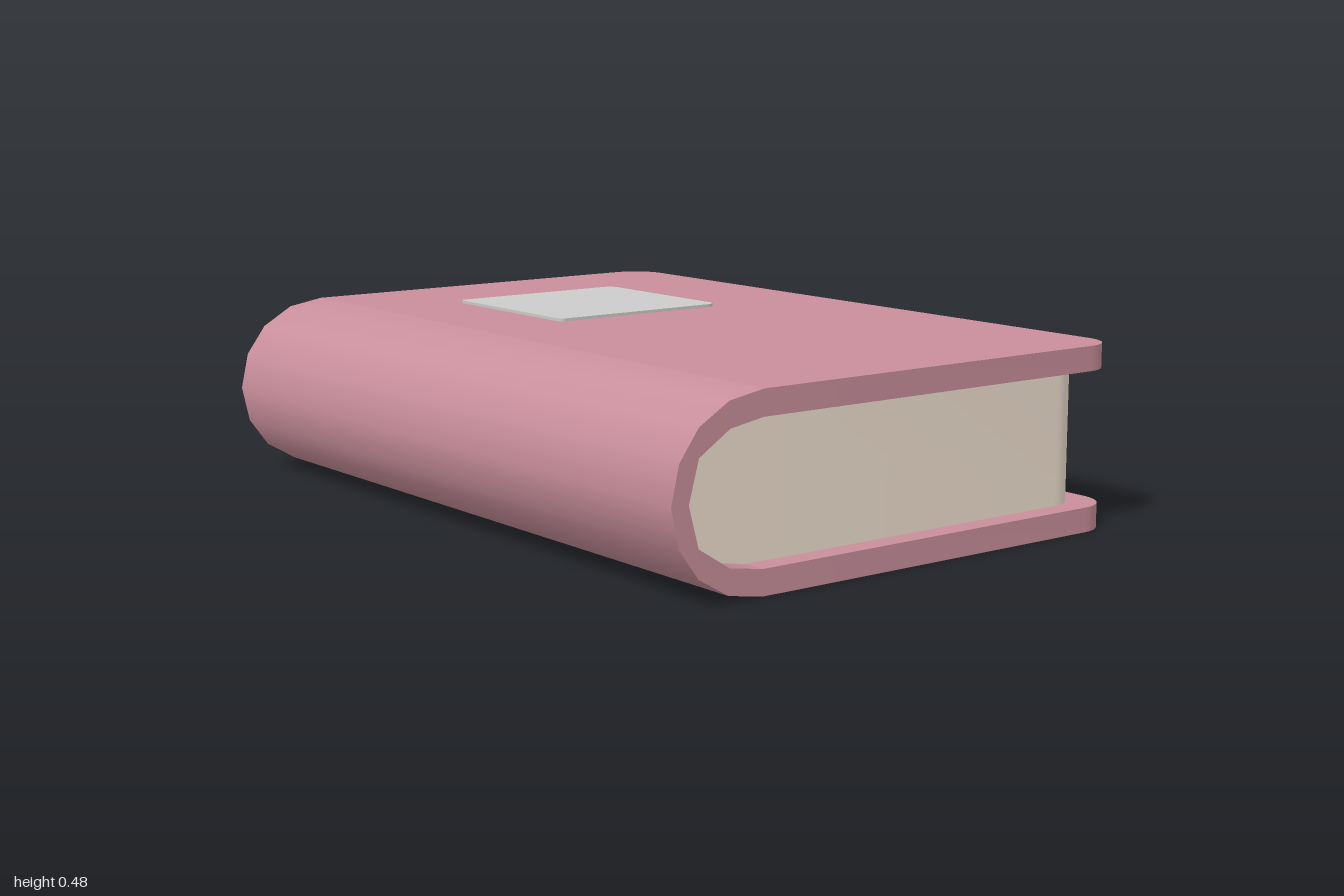
import * as THREE from 'three';
import { toCreasedNormals } from 'three/addons/utils/BufferGeometryUtils.js';

const MID = 0.241; // mid height of the book
const JOINT = -0.45; // where the boards meet the rounded spine

const coverMat = new THREE.MeshStandardMaterial({ color: 0xc88e9b });
const pageMat = new THREE.MeshStandardMaterial({ color: 0xf0e0d0 });
const labelMat = new THREE.MeshStandardMaterial({ color: 0xcccccc });

// Upper half of the spine curves as [x, height above the middle]
const outerHalf = [[JOINT, 0.238], [-0.55, 0.221], [-0.635, 0.171], [-0.69, 0.096]];
const innerHalf = [[JOINT, 0.174], [-0.547, 0.158], [-0.635, 0.102]];

// Full curve, top to bottom, mirrored about the middle height
function spineCurve(half, tipX) {
  const up = half.map(([x, h]) => new THREE.Vector2(x, MID + h));
  const down = half.map(([x, h]) => new THREE.Vector2(x, MID - h)).reverse();
  return [...up, new THREE.Vector2(tipX, MID), ...down];
}

function mesh(name, geometry, material) {
  const m = new THREE.Mesh(toCreasedNormals(geometry, 0.6), material);
  m.name = name;
  return m;
}

// Flat slab seen from above, with separate radii for its left and right corners
function slab(name, x0, x1, z0, z1, y0, y1, rLeft, rRight, material) {
  const s = new THREE.Shape();
  const a = -z1, b = -z0;
  s.moveTo(x0 + rLeft, a);
  s.lineTo(x1 - rRight, a);
  s.absarc(x1 - rRight, a + rRight, rRight, -Math.PI / 2, 0);
  s.lineTo(x1, b - rRight);
  s.absarc(x1 - rRight, b - rRight, rRight, 0, Math.PI / 2);
  s.lineTo(x0 + rLeft, b);
  if (rLeft > 0) s.absarc(x0 + rLeft, b - rLeft, rLeft, Math.PI / 2, Math.PI);
  s.lineTo(x0, a + rLeft);
  if (rLeft > 0) s.absarc(x0 + rLeft, a + rLeft, rLeft, Math.PI, Math.PI * 1.5);
  const g = new THREE.ExtrudeGeometry(s, { depth: y1 - y0, bevelEnabled: false, curveSegments: 5 });
  g.rotateX(-Math.PI / 2).translate(0, y0, 0);
  return mesh(name, g, material);
}

// Profile in the x-y plane carried along the length of the book
function alongLength(name, points, z0, z1, material) {
  const g = new THREE.ExtrudeGeometry(new THREE.Shape(points), { depth: z1 - z0, bevelEnabled: false });
  g.translate(0, 0, z0);
  return mesh(name, g, material);
}

export function createModel() {
  const book = new THREE.Group();
  book.name = 'book';
  const outer = spineCurve(outerHalf, -0.712);
  const inner = spineCurve(innerHalf, -0.663);

  // Cover: two boards joined by a rounded spine
  const cover = new THREE.Group();
  cover.name = 'cover';
  cover.add(
    slab('topBoard', JOINT, 0.712, -1, 1, MID + 0.174, MID + 0.238, 0, 0.1, coverMat),
    slab('bottomBoard', JOINT, 0.712, -1, 1, MID - 0.238, MID - 0.174, 0, 0.1, coverMat),
    alongLength('spine', [...outer, ...[...inner].reverse()], -1, 1, coverMat)
  );

  // Pages: block with rounded fore-edge corners, filling the hollow of the spine
  const pages = new THREE.Group();
  pages.name = 'pages';
  pages.add(
    slab('pageBlock', JOINT, 0.66, -0.96, 0.94, MID - 0.174, MID + 0.174, 0, 0.1, pageMat),
    alongLength('pageBack', inner, -0.96, 0.94, pageMat)
  );

  // Plain plate on the top board
  const label = slab('coverLabel', -0.19, 0.345, -0.66, -0.16, 0.0, 0.01, 0.015, 0.03, labelMat);
  label.position.y = MID + 0.236;

  book.add(cover, pages, label);
  return book;
}
